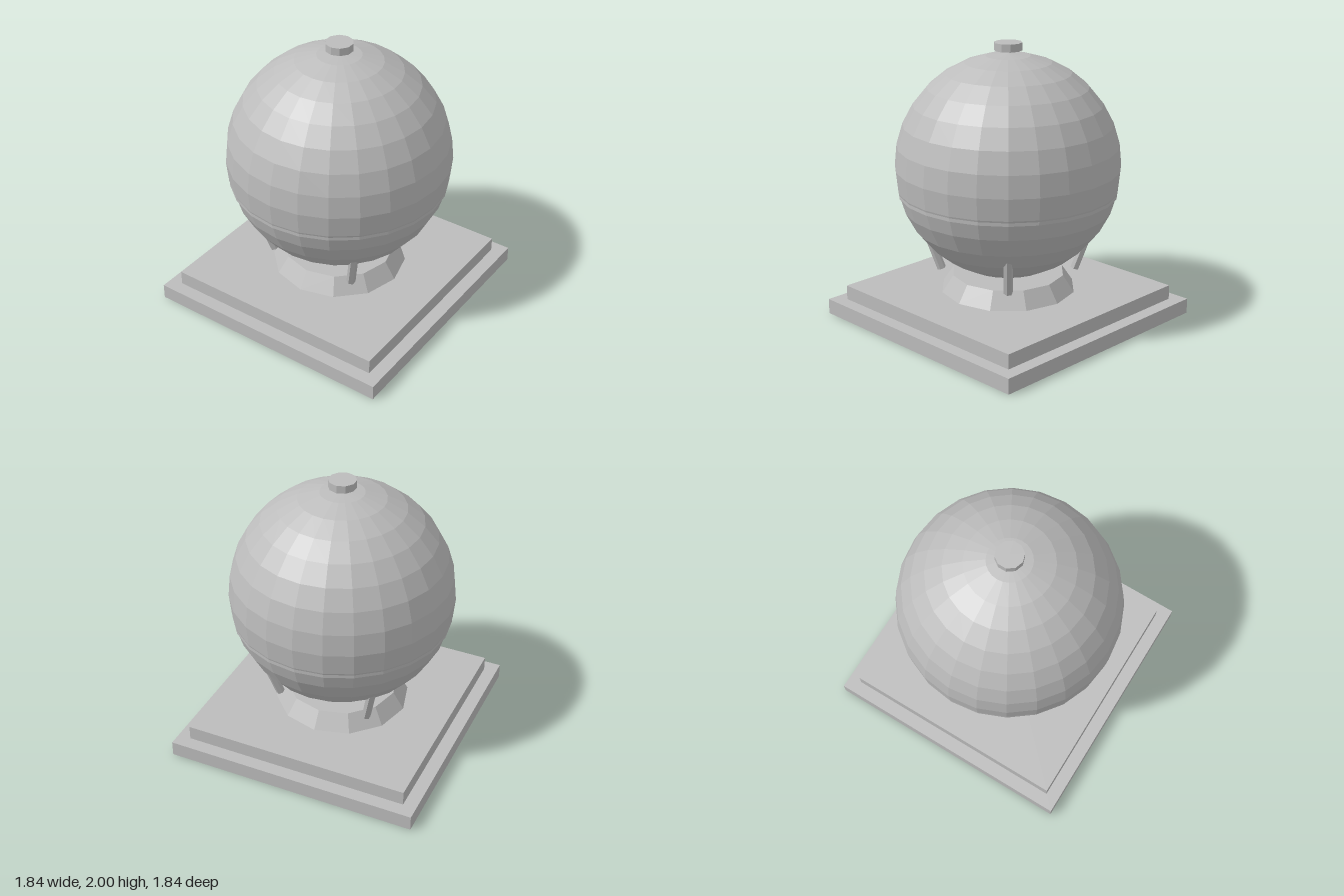
import * as THREE from 'three';

export function createModel() {
  const model = new THREE.Group();
  model.name = 'globeOnPlinth';

  const stone = new THREE.MeshStandardMaterial({ color: 0xbcbcbc });
  stone.name = 'grey';
  stone.flatShading = true;

  const add = (name, geometry, y) => {
    const mesh = new THREE.Mesh(geometry, stone);
    mesh.name = name;
    mesh.position.y = y;
    model.add(mesh);
    return mesh;
  };

  // Stepped square plinth
  add('lowerStep', new THREE.BoxGeometry(1.84, 0.11, 1.84), 0.055);
  add('upperStep', new THREE.BoxGeometry(1.65, 0.105, 1.65), 0.1625);

  // Tapered collar under the globe
  add('collar', new THREE.CylinderGeometry(0.405, 0.485, 0.12, 12), 0.275);

  // Faceted globe with a thin band just below its middle
  add('globe', new THREE.SphereGeometry(0.795, 24, 16), 1.128);
  add('band', new THREE.CylinderGeometry(0.776, 0.776, 0.05, 24), 0.962);

  // Small cap floating above the globe
  add('cap', new THREE.CylinderGeometry(0.098, 0.098, 0.055, 10), 1.9725);

  // Four struts on the diagonals, leaning outward into the globe
  const up = new THREE.Vector3(0, 1, 0);
  for (const sx of [-1, 1]) {
    for (const sz of [-1, 1]) {
      const foot = new THREE.Vector3(sx * 0.338, 0.353, sz * 0.338);
      const head = new THREE.Vector3(sx * 0.413, 0.65, sz * 0.413);
      const axis = head.clone().sub(foot);
      const strut = add('strut', new THREE.CylinderGeometry(0.032, 0.032, axis.length(), 6), 0);
      strut.position.copy(foot).add(head).multiplyScalar(0.5);
      strut.quaternion.setFromUnitVectors(up, axis.normalize());
    }
  }

  return model;
}
